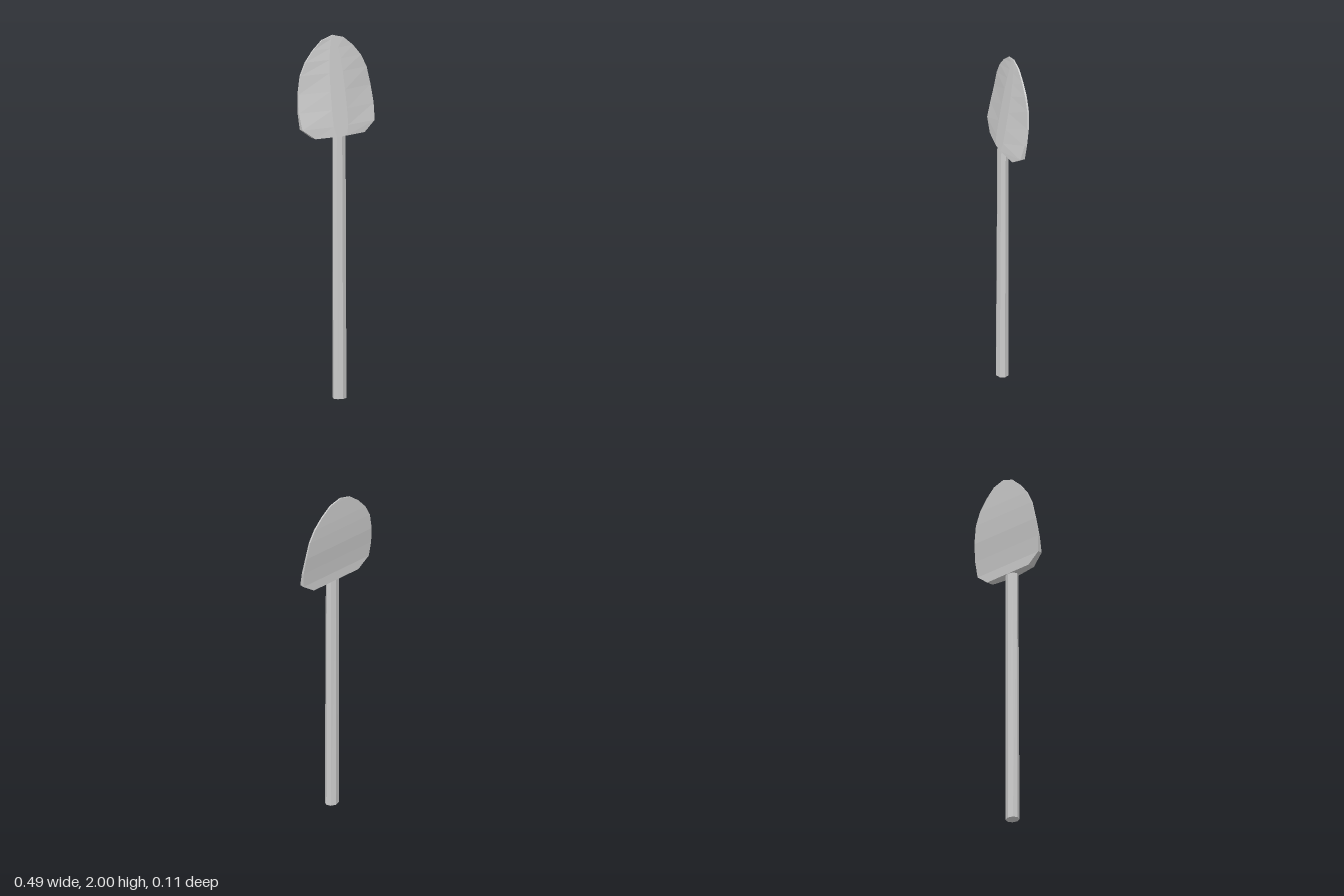
import * as THREE from 'three';

const material = new THREE.MeshStandardMaterial({ color: 0xcccccc, flatShading: true });

// Tapered solid blade lofted from horizontal cross-sections
function makeBlade() {
  // height, half width, front z at the rim, back z
  const rows = [
    [1.455, 0.16, 0.023, -0.018],
    [1.51, 0.235, 0.008, -0.018],
    [1.6, 0.243, -0.014, -0.028],
    [1.7, 0.235, -0.032, -0.042],
    [1.8, 0.215, -0.04, -0.05],
    [1.87, 0.18, -0.043, -0.053],
    [1.93, 0.13, -0.046, -0.054],
    [1.98, 0.07, -0.047, -0.055],
    [2.0, 0, -0.048, -0.055],
  ];
  const positions = [];
  for (const [y, w, rim, back] of rows) {
    // The middle of the front face slopes straight back towards the tip
    const mid = THREE.MathUtils.mapLinear(y, 1.455, 2, 0.041, -0.048);
    positions.push(-w, y, rim, -0.2 * w, y, mid, 0.2 * w, y, mid, w, y, rim, w, y, back, -w, y, back);
  }
  const n = 6;
  const index = [];
  for (let r = 0; r < rows.length - 1; r++) {
    for (let i = 0; i < n; i++) {
      const a = r * n + i, b = r * n + (i + 1) % n;
      index.push(a, b, b + n, a, b + n, a + n);
    }
  }
  for (let i = 1; i < n - 1; i++) index.push(0, i + 1, i); // bottom edge
  const geometry = new THREE.BufferGeometry();
  geometry.setAttribute('position', new THREE.Float32BufferAttribute(positions, 3));
  geometry.setIndex(index);
  const flat = geometry.toNonIndexed();
  flat.computeVertexNormals();
  return flat;
}

// Eight-sided handle, a little slimmer from front to back at its top
function makeHandle() {
  const height = 1.455;
  const geometry = new THREE.CylinderGeometry(0.04, 0.04, height, 8);
  geometry.translate(0, height / 2, 0);
  const p = geometry.attributes.position;
  for (let i = 0; i < p.count; i++) {
    const depth = THREE.MathUtils.lerp(0.0355, 0.0305, p.getY(i) / height);
    p.setZ(i, -0.018 + depth + p.getZ(i) / 0.04 * depth);
  }
  geometry.computeVertexNormals();
  return geometry;
}

export function createModel() {
  const model = new THREE.Group();
  model.name = 'shovel';
  for (const [name, geometry] of [['blade', makeBlade()], ['handle', makeHandle()]]) {
    const mesh = new THREE.Mesh(geometry, material);
    mesh.name = name;
    model.add(mesh);
  }
  return model;
}
